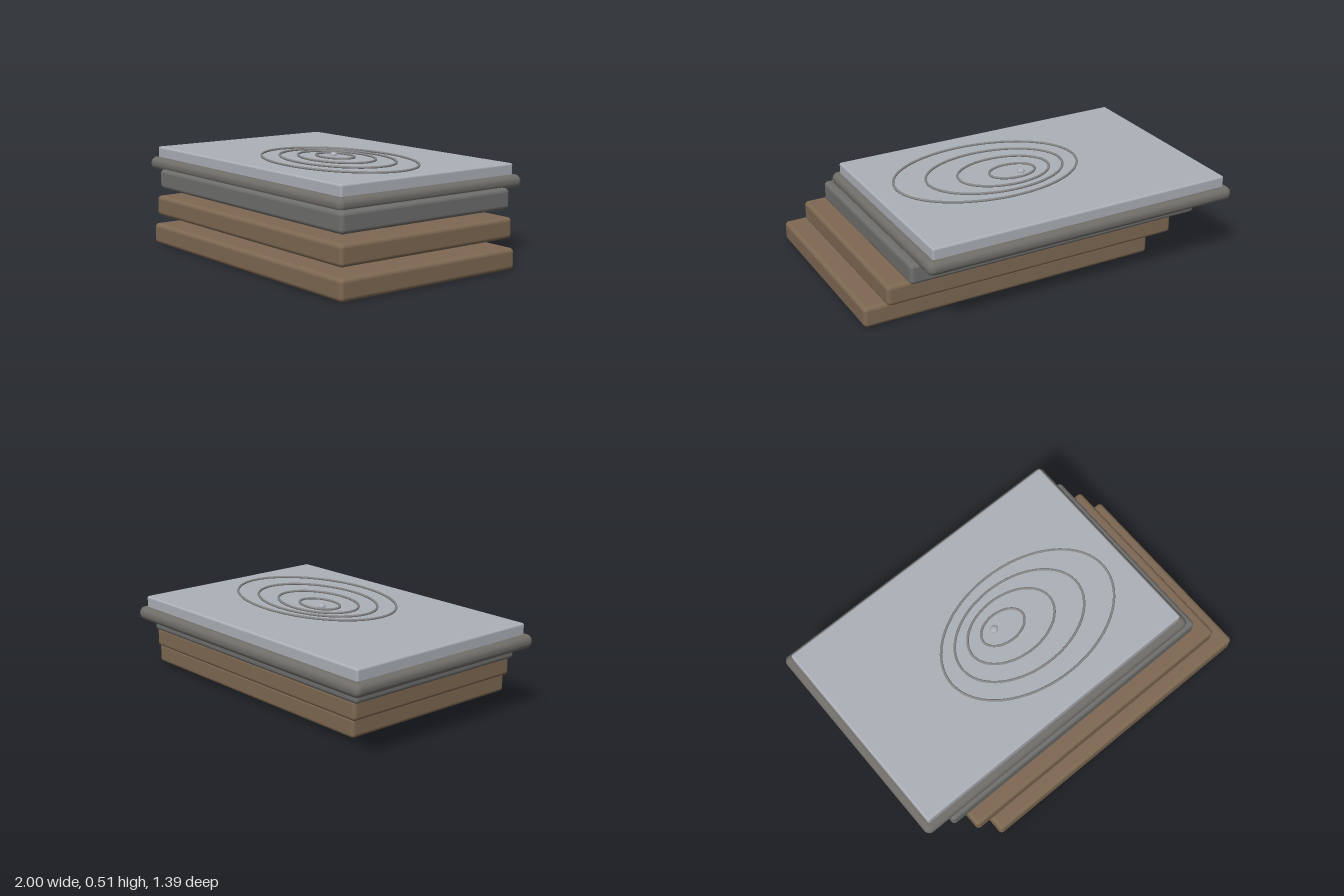
import * as THREE from 'three';
import { RoundedBoxGeometry } from 'three/addons/geometries/RoundedBoxGeometry.js';

const material = (name, color) => {
  const m = new THREE.MeshStandardMaterial({ color });
  m.name = name;
  return m;
};

export function createModel() {
  const model = new THREE.Group();
  const brown = material('earthBrown', 0x7d6852);
  const stone = material('stoneGrey', 0x6e6e6d);
  const warm = material('warmGrey', 0x706d69);
  const pale = material('paleGrey', 0xacb0b7);
  const ringGrey = material('ringGrey', 0x858685);

  const add = (name, geometry, mat, x, y, z) => {
    const mesh = new THREE.Mesh(geometry, mat);
    mesh.name = name;
    mesh.position.set(x, y, z);
    model.add(mesh);
    return mesh;
  };

  // Stacked rounded slabs, each given by its extents along x, y and z
  const slab = (name, mat, [x0, x1], [y0, y1], [z0, z1], radius) =>
    add(name, new RoundedBoxGeometry(x1 - x0, y1 - y0, z1 - z0, 5, radius), mat,
      (x0 + x1) / 2, (y0 + y1) / 2, (z0 + z1) / 2);

  slab('bottomSlab', brown, [-0.667, 1], [0, 0.111], [-0.413, 0.693], 0.022);
  slab('secondSlab', brown, [-0.761, 0.905], [0.133, 0.244], [-0.488, 0.619], 0.022);
  slab('thirdSlab', stone, [-0.855, 0.812], [0.263, 0.373], [-0.562, 0.544], 0.022);
  slab('rimSlab', warm, [-1, 0.775], [0.355, 0.428], [-0.693, 0.526], 0.034);
  slab('topPlate', pale, [-0.963, 0.737], [0.415, 0.487], [-0.655, 0.488], 0.011);

  // Off-centre oval ripples: centre x, centre z, radius x, radius z
  const ripples = [
    [0.097, 0.005, 0.519, 0.342],
    [0.058, -0.017, 0.388, 0.255],
    [0.020, -0.042, 0.260, 0.172],
    [-0.019, -0.064, 0.130, 0.085],
  ];
  ripples.forEach(([x, z, rx, rz], i) => {
    const points = Array.from({ length: 48 }, (_, k) => {
      const a = (k / 48) * Math.PI * 2;
      return new THREE.Vector3(Math.cos(a) * rx, 0, -Math.sin(a) * rz);
    });
    const path = new THREE.CatmullRomCurve3(points, true);
    add('ripple' + (i + 1), new THREE.TubeGeometry(path, 96, 0.0065, 8, true), ringGrey, x, 0.492, z);
  });

  // Small flattened bead inside the innermost ripple
  add('bead', new THREE.SphereGeometry(0.021, 24, 16), pale, -0.06, 0.49, -0.086).scale.y = 0.72;

  return model;
}
